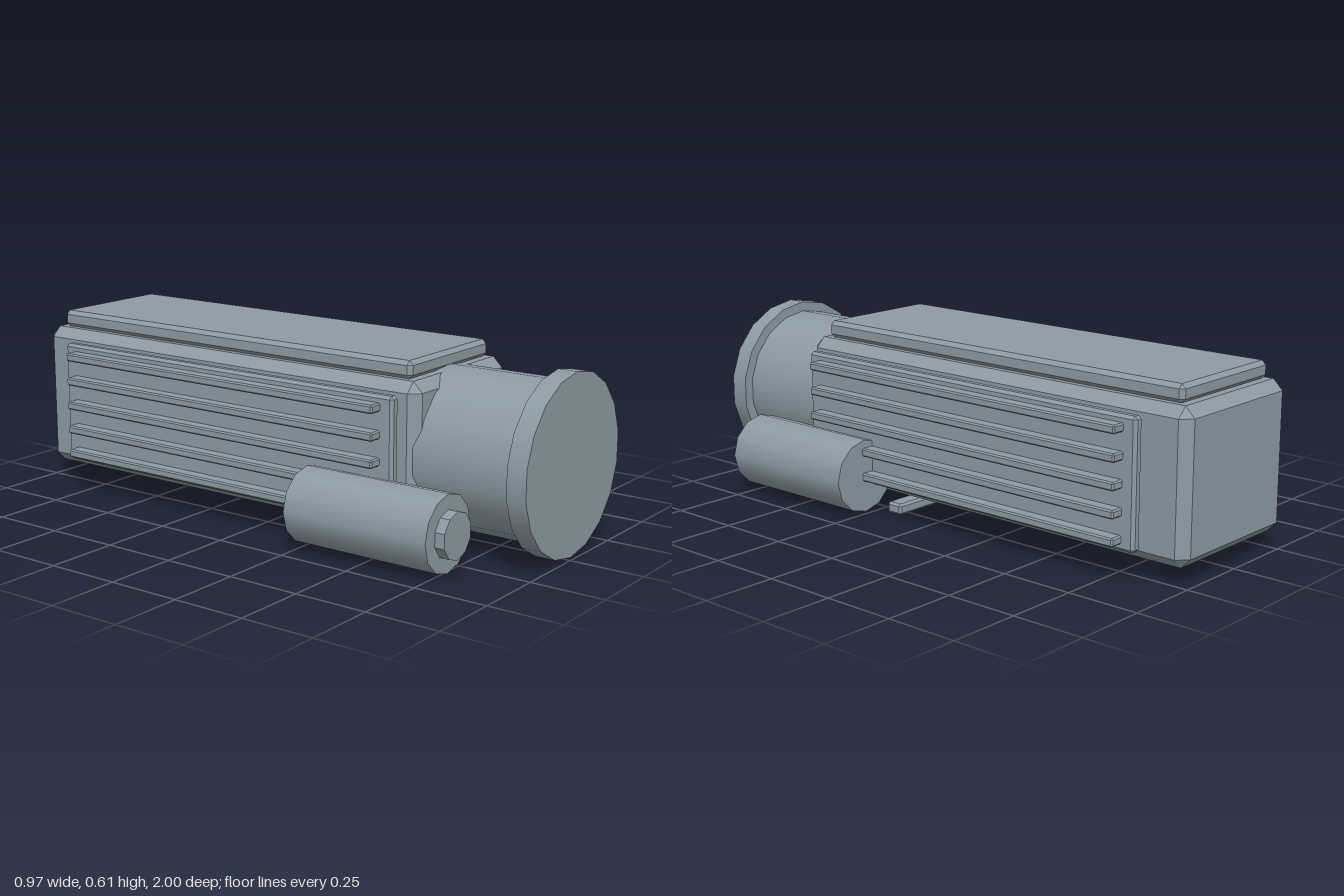
import * as THREE from 'three';
import { ConvexGeometry } from 'three/addons/geometries/ConvexGeometry.js';

const color = 0x8d9ba5;
const smooth = new THREE.MeshStandardMaterial({ color });
const faceted = new THREE.MeshStandardMaterial({ color, flatShading: true });

// Box between two corners with every edge cut by a flat chamfer
function chamferBox(name, x, y, z, bevel) {
  const half = [x, y, z].map(([a, b]) => (b - a) / 2);
  const points = [];
  for (const sx of [-1, 1]) for (const sy of [-1, 1]) for (const sz of [-1, 1]) {
    for (let axis = 0; axis < 3; axis++) {
      const p = half.map((h, i) => (i === axis ? h : h - bevel));
      points.push(new THREE.Vector3(p[0] * sx, p[1] * sy, p[2] * sz));
    }
  }
  const mesh = new THREE.Mesh(new ConvexGeometry(points), faceted);
  mesh.name = name;
  mesh.position.set((x[0] + x[1]) / 2, (y[0] + y[1]) / 2, (z[0] + z[1]) / 2);
  return mesh;
}

// Cylinder lying along z
function tube(name, radius, sides, x, y, [z0, z1], material = smooth) {
  const geometry = new THREE.CylinderGeometry(radius, radius, z1 - z0, sides).rotateX(Math.PI / 2);
  const mesh = new THREE.Mesh(geometry, material);
  mesh.name = name;
  mesh.position.set(x, y, (z0 + z1) / 2);
  return mesh;
}

export function createModel() {
  const model = new THREE.Group();
  model.name = 'housingAssembly';

  // Main housing, lid and bottom crossbar
  model.add(
    chamferBox('housing', [-0.272, 0.272], [0.057, 0.555], [-1, 0.598], 0.034),
    chamferBox('topLid', [-0.23, 0.23], [0.554, 0.613], [-0.95, 0.548], 0.014),
    chamferBox('bottomCrossbar', [-0.297, 0.297], [0, 0.039], [0.143, 0.206], 0.008),
  );

  // Front barrel with its flange
  model.add(
    tube('barrel', 0.262, 18, 0, 0.306, [0.51, 0.935]),
    tube('barrelFlange', 0.296, 18, 0, 0.306, [0.933, 1]),
  );

  // Side panels, cooling fins and canisters
  for (const side of [-1, 1]) {
    const group = new THREE.Group();
    group.name = side > 0 ? 'leftSide' : 'rightSide';
    const span = (a, b) => (side > 0 ? [a, b] : [-b, -a]);
    group.add(chamferBox('sidePanel', span(0.288, 0.325), [0.096, 0.518], [-0.853, 0.546], 0.01));
    for (let i = 0; i < 5; i++) {
      const y = 0.48 - i * 0.087;
      group.add(chamferBox('coolingFin', span(0.262, 0.37), [y - 0.014, y + 0.014], [-0.808, 0.5], 0.005));
    }
    group.add(
      tube('canister', 0.126, 12, side * 0.359, 0.136, [0.246, 0.776]),
      tube('canisterCap', 0.077, 10, side * 0.359, 0.136, [0.74, 0.81], faceted),
    );
    model.add(group);
  }
  return model;
}
